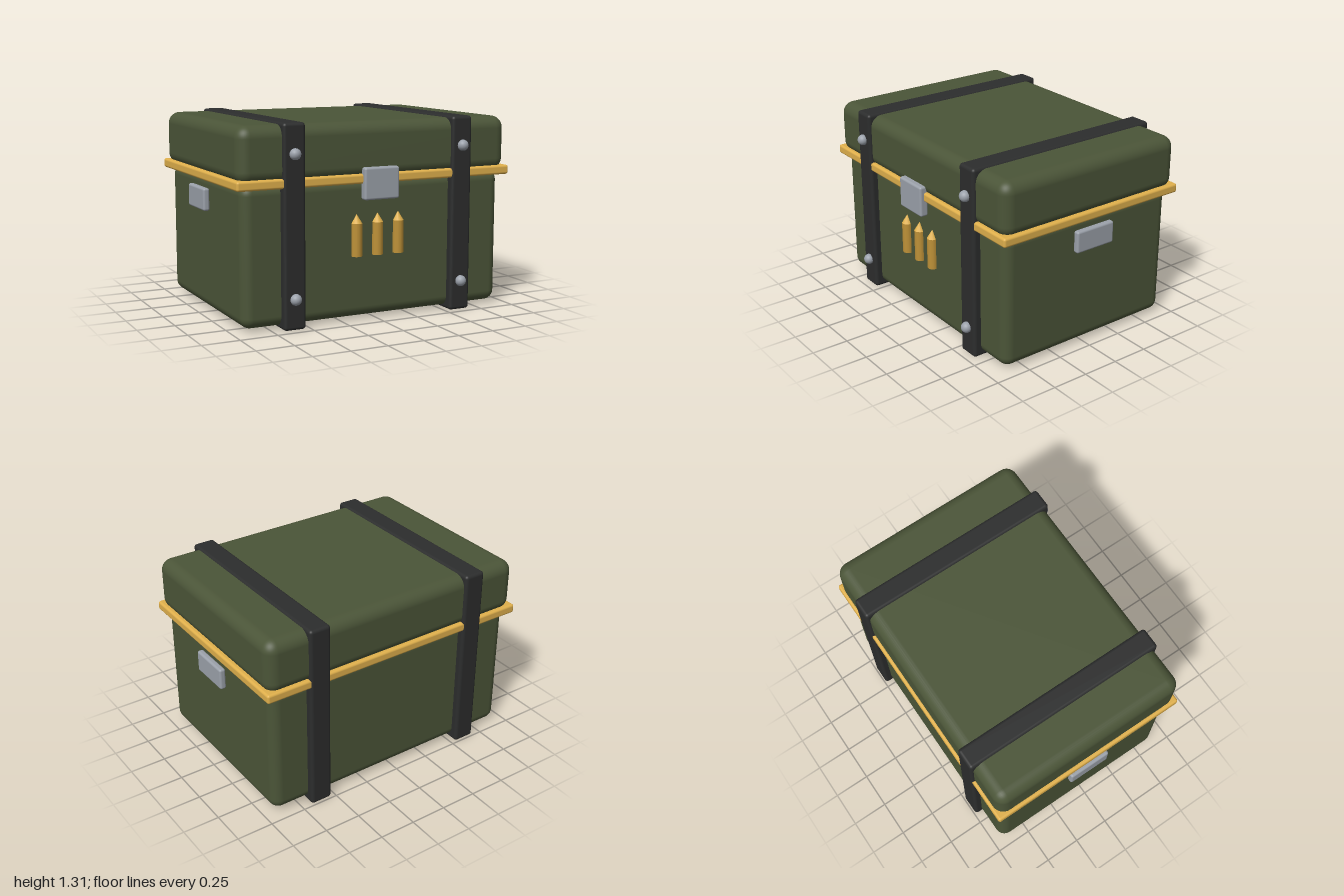
import * as THREE from 'three';
import { RoundedBoxGeometry } from 'three/addons/geometries/RoundedBoxGeometry.js';

const paint = (color) => new THREE.MeshStandardMaterial({ color });

export function createModel() {
  const chest = new THREE.Group();
  chest.name = 'ammoChest';
  const green = paint(0x4b5538);
  const black = paint(0x2c2d2d);
  const gold = paint(0xe0b04c);
  const brass = paint(0xbf9238);
  const metal = paint(0x9ba1aa);

  const add = (name, geometry, material, x, y, z) => {
    const mesh = new THREE.Mesh(geometry, material);
    mesh.name = name;
    mesh.position.set(x, y, z);
    chest.add(mesh);
    return mesh;
  };

  // Rounded box given by its extents on each axis
  const box = (name, material, [x0, x1], [y0, y1], [z0, z1], radius) =>
    add(name, new RoundedBoxGeometry(x1 - x0, y1 - y0, z1 - z0, 5, radius), material,
      (x0 + x1) / 2, (y0 + y1) / 2, (z0 + z1) / 2);

  // Case, lid and the trim between them
  box('body', green, [-0.94, 0.94], [0.02, 0.93], [-0.69, 0.65], 0.07);
  box('lid', green, [-0.97, 0.97], [0.93, 1.295], [-0.72, 0.68], 0.08);
  box('trim', gold, [-0.987, 0.987], [0.9, 0.963], [-0.735, 0.693], 0.016);

  // Front latch
  box('latch', metal, [-0.128, 0.123], [0.795, 1.005], [0.66, 0.72], 0.015);

  // Straps with two rivets each, and a handle plate on each end
  const rivet = new THREE.SphereGeometry(0.037, 20, 14);
  for (const [side, s] of [['left', 1], ['right', -1]]) {
    const x = s * 0.607;
    box(side + 'Strap', black, [x - 0.076, x + 0.076], [0, 1.308], [-0.74, 0.7], 0.022);
    for (const y of [0.2, 1.115]) add(side + 'Rivet', rivet, metal, x, y, 0.708);
    const hx = s * 0.978;
    box(side + 'Handle', metal, [hx - 0.022, hx + 0.022], [0.703, 0.853], [-0.17, 0.13], 0.015);
  }

  // Three cartridges on the front: case and pointed tip
  const casing = new THREE.CylinderGeometry(0.037, 0.037, 0.215, 12);
  const tip = new THREE.ConeGeometry(0.037, 0.06, 12);
  for (const x of [-0.154, -0.002, 0.15]) {
    add('cartridgeCase', casing, brass, x, 0.535, 0.653);
    add('cartridgeTip', tip, gold, x, 0.672, 0.653);
  }
  return chest;
}
